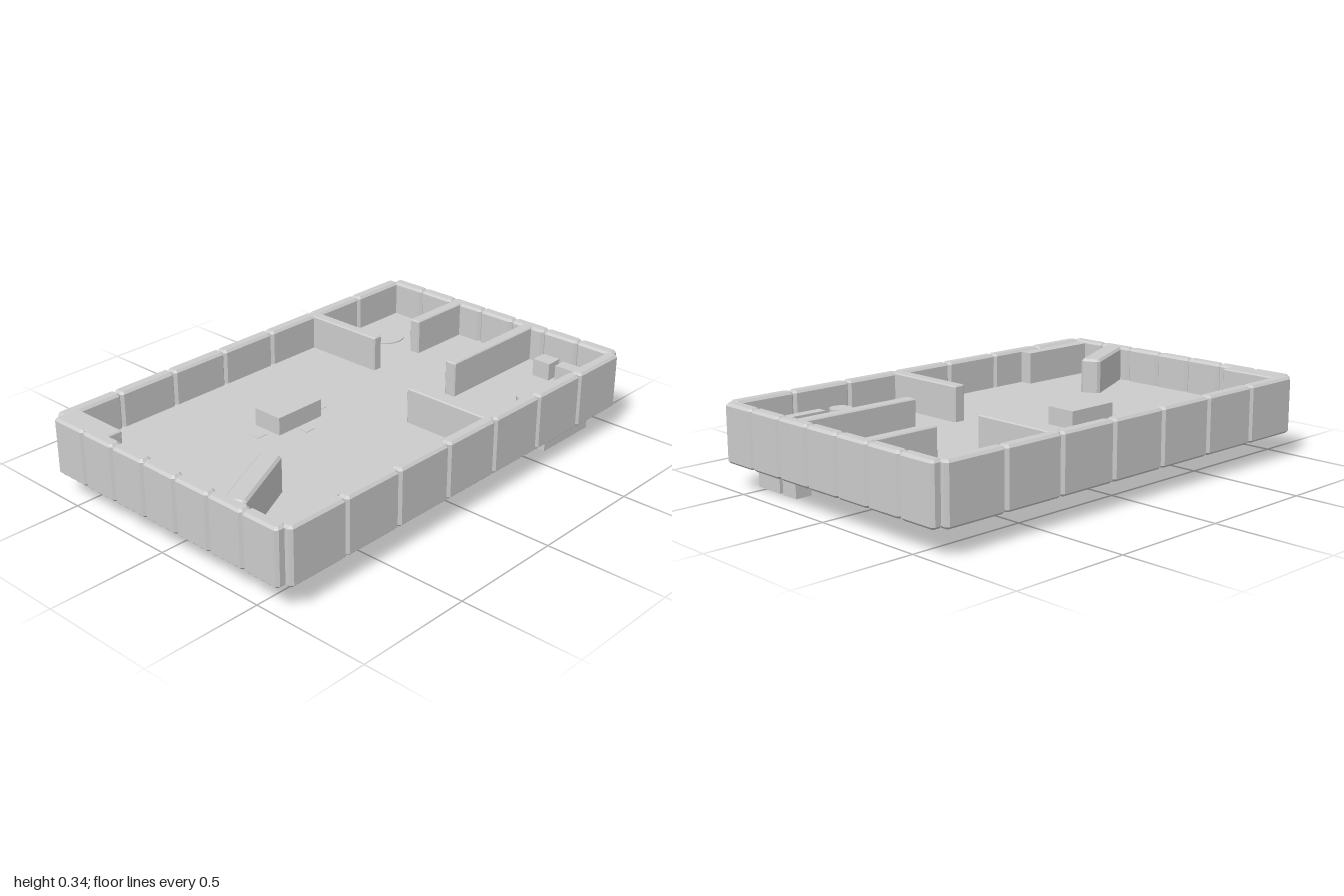
import * as THREE from 'three';

const mat = new THREE.MeshStandardMaterial({ color: 0xcccccc, flatShading: true });
const smooth = new THREE.MeshStandardMaterial({ color: 0xcccccc });
const WALL_BOTTOM = 0.105, WALL_TOP = 0.345, FLOOR_BOTTOM = 0.115, FLOOR_TOP = 0.195;

export function createModel() {
  const model = new THREE.Group();
  model.name = 'roomTray';

  const add = (name, geometry, material = mat) => {
    const mesh = new THREE.Mesh(geometry, material);
    mesh.name = name;
    model.add(mesh);
    return mesh;
  };

  // Plain box given by its limits
  const box = (name, x0, x1, y0, y1, z0, z1) =>
    add(name, new THREE.BoxGeometry(x1 - x0, y1 - y0, z1 - z0))
      .position.set((x0 + x1) / 2, (y0 + y1) / 2, (z0 + z1) / 2);

  // Wall block with all edges chamfered
  const block = (name, cx, cz, w, d, turn = 0, c = 0.01) => {
    const a = w / 2 - c, b = d / 2 - c, k = c * 0.6;
    const outline = [
      [a - k, -b], [a, -b + k], [a, b - k], [a - k, b],
      [-a + k, b], [-a, b - k], [-a, -b + k], [-a + k, -b],
    ].map(([x, y]) => new THREE.Vector2(x, y));
    const geometry = new THREE.ExtrudeGeometry(new THREE.Shape(outline), {
      depth: WALL_TOP - WALL_BOTTOM - 2 * c,
      bevelEnabled: true, bevelSize: c, bevelThickness: c, bevelSegments: 1,
    });
    geometry.rotateX(-Math.PI / 2);
    const mesh = add(name, geometry);
    mesh.position.set(cx, WALL_BOTTOM + c, cz);
    mesh.rotation.y = turn;
  };
  const wall = (name, x0, x1, z0, z1, c = 0.005) =>
    block(name, (x0 + x1) / 2, (z0 + z1) / 2, x1 - x0, z1 - z0, 0, c);

  // Floor slab
  box('floor', -0.6, 0.6, FLOOR_BOTTOM, FLOOR_TOP, -0.965, 0.965);

  // Outer walls, seven blocks a side
  const count = 7, endW = 1.21 / count, sideW = 1.925 / count;
  for (let i = 0; i < count; i++) {
    const t = i - (count - 1) / 2;
    for (const s of [-1, 1]) {
      block(s > 0 ? 'frontWall' : 'backWall', t * endW, s * 0.973, endW, 0.054);
      block(s > 0 ? 'leftWall' : 'rightWall', s * 0.608, t * sideW, 0.054, sideW);
    }
  }

  // Inner partitions
  wall('backPartitionShort', -0.25, -0.2, -0.98, -0.66);
  wall('backPartitionLong', 0.145, 0.197, -0.98, -0.425);
  wall('rightPartition', -0.615, -0.22, -0.44, -0.393);
  wall('leftPartition', 0.205, 0.615, -0.17, -0.115);
  wall('cornerWall', -0.6, -0.33, 0.888, 0.98);
  block('slantedWall', 0.282, 0.798, 0.088, 0.365, Math.atan2(0.155, 0.33));

  // Cupboard against the left wall
  box('cupboard', 0.525, 0.582, 0.1, 0.335, 0.58, 0.945);

  // Furniture passing through the floor
  box('table', -0.215, -0.08, 0, 0.27, 0.08, 0.315);
  box('armchair', 0.305, 0.388, 0, 0.27, -0.895, -0.822);
  box('sofaBack', 0.408, 0.502, 0, 0.265, -0.895, -0.838);
  box('sofaSide', 0.502, 0.547, 0, 0.265, -0.895, -0.595);

  // Chair seats almost level with the floor
  for (const [x, z] of [[-0.147, 0.365], [-0.147, 0.03], [-0.045, 0.2], [-0.25, 0.2]])
    box('chairSeat', x - 0.025, x + 0.025, 0.15, FLOOR_TOP + 0.002, z - 0.025, z + 0.025);

  // Round pieces
  const drum = (name, x, z, r, y0, y1) =>
    add(name, new THREE.CylinderGeometry(r, r, y1 - y0, 32), smooth)
      .position.set(x, (y0 + y1) / 2, z);
  drum('stool', 0.5, -0.522, 0.046, 0.15, 0.265);
  drum('roundTable', -0.437, -0.7, 0.091, 0.063, 0.2);

  return model;
}
